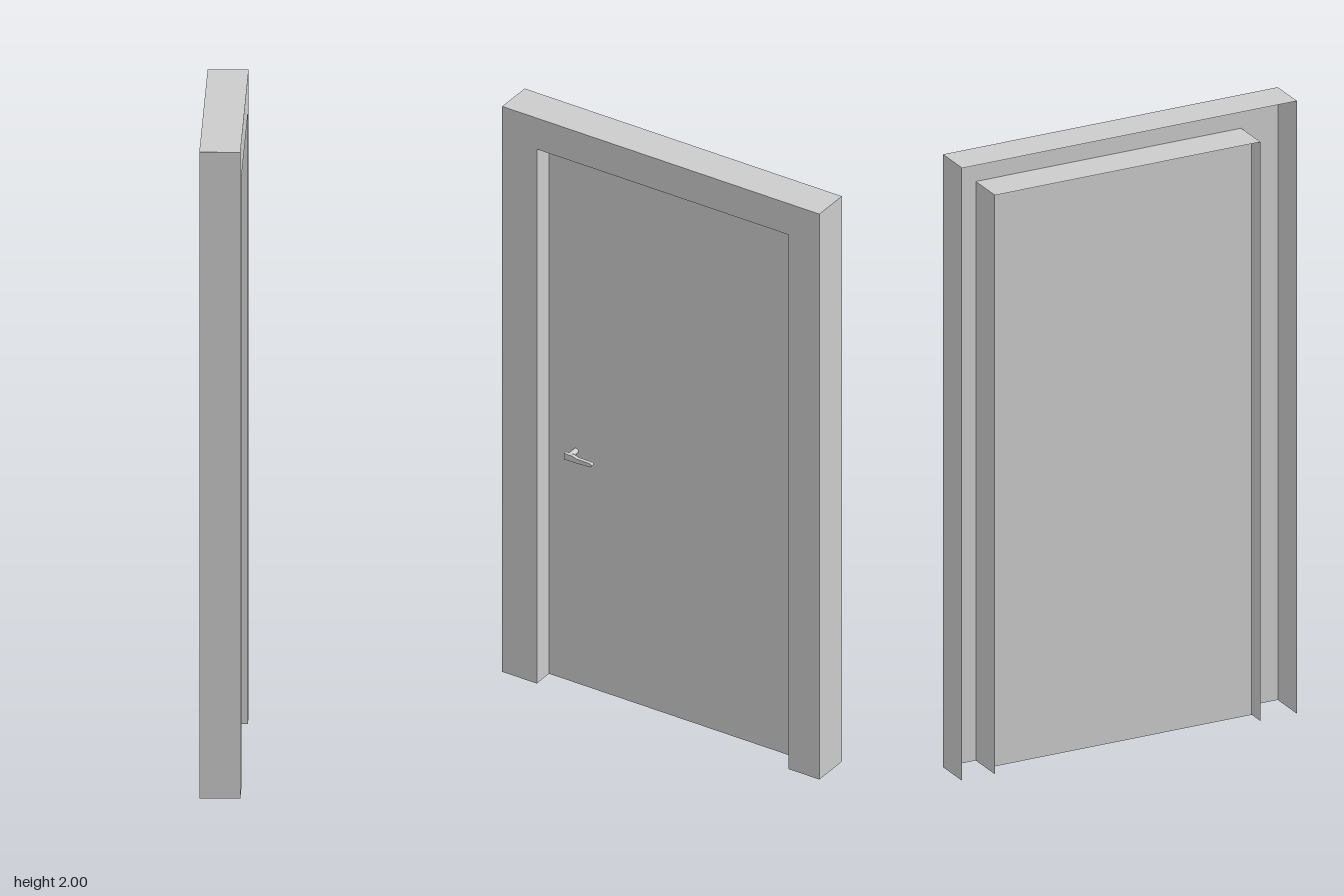
import * as THREE from 'three';

const HALF_DEPTH = 0.062;
const FRONT_Z = 0.572, OPEN_Z0 = -0.46, OPEN_Z1 = 0.447, OPEN_TOP = 1.89;
const PANEL_X = -0.006;

// Doorway outline (up, across, down) at a given depth
const arch = (x, z0, z1, top) => [[x, 0, z1], [x, top, z1], [x, top, z0], [x, 0, z0]];

// Flat-shaded skin joining successive rows of points
function skin(rows) {
  const pos = [];
  for (let r = 0; r < rows.length - 1; r++) {
    for (let i = 0; i < rows[r].length - 1; i++) {
      const a = rows[r][i], b = rows[r][i + 1], c = rows[r + 1][i + 1], d = rows[r + 1][i];
      pos.push(...a, ...d, ...c, ...a, ...c, ...b);
    }
  }
  const g = new THREE.BufferGeometry();
  g.setAttribute('position', new THREE.Float32BufferAttribute(pos, 3));
  g.computeVertexNormals();
  return g;
}

export function createModel() {
  const group = new THREE.Group();
  const grey = new THREE.MeshStandardMaterial({ color: 0xcccccc, side: THREE.DoubleSide });
  const add = (name, geometry) => {
    const mesh = new THREE.Mesh(geometry, grey);
    mesh.name = name;
    group.add(mesh);
    return mesh;
  };

  // Hollow frame: outer walls, face trim and reveal; open at the back and bottom
  add('doorFrame', skin([
    arch(-HALF_DEPTH, -FRONT_Z, FRONT_Z, 2),
    arch(HALF_DEPTH, -FRONT_Z, FRONT_Z, 2),
    arch(HALF_DEPTH, OPEN_Z0, OPEN_Z1, OPEN_TOP),
    arch(-HALF_DEPTH, OPEN_Z0, OPEN_Z1, OPEN_TOP),
  ]));

  // Thin door leaf set halfway into the reveal
  const panel = add('doorPanel', new THREE.PlaneGeometry(OPEN_Z1 - OPEN_Z0, OPEN_TOP));
  panel.rotation.y = Math.PI / 2;
  panel.position.set(PANEL_X, OPEN_TOP / 2, (OPEN_Z0 + OPEN_Z1) / 2);

  // Round neck carrying the lever
  const neckLength = 0.036;
  const neck = add('handleNeck', new THREE.CylinderGeometry(0.009, 0.009, neckLength, 16));
  neck.rotation.z = -Math.PI / 2;
  neck.position.set(PANEL_X + neckLength / 2, 0.821, 0.35);

  // Lever: broad at the neck, narrowing to the tip (shape x runs along -z)
  const s = new THREE.Shape();
  s.moveTo(0, -0.011);
  s.lineTo(0.04, -0.011);
  s.lineTo(0.095, -0.008);
  s.quadraticCurveTo(0.105, -0.002, 0.095, 0.004);
  s.lineTo(0.045, 0.005);
  s.lineTo(0.03, 0.010);
  s.lineTo(0, 0.010);
  s.closePath();
  const lever = add('handleLever', new THREE.ExtrudeGeometry(s, { depth: 0.012, bevelEnabled: false, curveSegments: 6 }));
  lever.rotation.y = Math.PI / 2;
  lever.position.set(0.028, 0.821, 0.364);

  return group;
}
